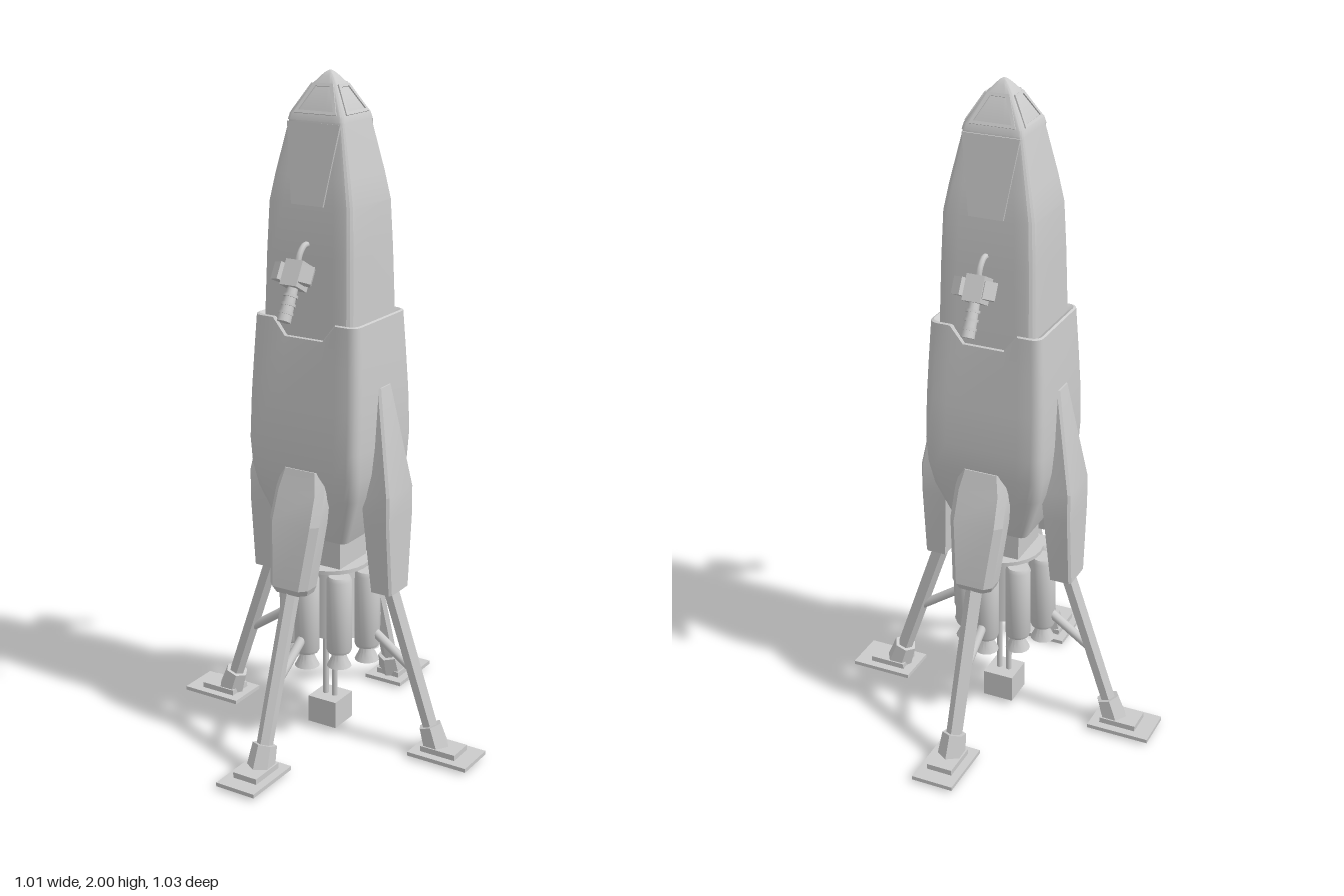
import * as THREE from 'three';
import { toCreasedNormals } from 'three/addons/utils/BufferGeometryUtils.js';

const mat = new THREE.MeshStandardMaterial({ color: 0xcccccc });
const V = (x, y, z) => new THREE.Vector3(x, y, z);

function add(parent, name, geometry, x = 0, y = 0, z = 0) {
  const m = new THREE.Mesh(geometry, mat);
  m.name = name;
  m.position.set(x, y, z);
  parent.add(m);
  return m;
}
const box = (w, h, d) => new THREE.BoxGeometry(w, h, d);

// Skin over closed rings of points, bottom to top, counterclockwise from above
function loft(rows, crease = 0.5) {
  const n = rows[0].length, pos = [], idx = [];
  rows.flat().forEach(p => pos.push(p.x, p.y, p.z));
  for (let i = 0; i < rows.length - 1; i++) {
    for (let j = 0; j < n; j++) {
      const a = i * n + j, b = i * n + (j + 1) % n;
      idx.push(a, b, b + n, a, b + n, a + n);
    }
  }
  [0, rows.length - 1].forEach(r => {
    const c = rows[r].reduce((s, p) => s.add(p), V(0, 0, 0)).divideScalar(n);
    const k = pos.length / 3;
    pos.push(c.x, c.y, c.z);
    for (let j = 0; j < n; j++) {
      const a = r * n + j, b = r * n + (j + 1) % n;
      idx.push(k, ...(r ? [a, b] : [b, a]));
    }
  });
  const g = new THREE.BufferGeometry();
  g.setAttribute('position', new THREE.Float32BufferAttribute(pos, 3));
  g.setIndex(idx);
  return toCreasedNormals(g, crease);
}

// Rounded rectangle ring; the front and back edges carry extra points for the collar notch
function ring(y, hx, hz, r, notch = 0) {
  const pts = [], steps = 4;
  const corner = (sx, sz, start) => {
    for (let i = 0; i <= steps; i++) {
      const t = start + (i / steps) * Math.PI / 2;
      pts.push(V(sx * (hx - r) + r * Math.cos(t), y, sz * (hz - r) - r * Math.sin(t)));
    }
  };
  const edge = sz => [0.72, 0.44, -0.44, -0.72].forEach(f =>
    pts.push(V(-sz * f * (hx - r), y - (Math.abs(f) < 0.5 ? notch : 0), sz * hz)));
  corner(1, -1, 0);
  edge(-1);
  corner(-1, -1, Math.PI / 2);
  corner(-1, 1, Math.PI);
  edge(1);
  corner(1, 1, Math.PI * 1.5);
  return pts;
}

// Cylinder between two points
function rod(parent, name, a, b, ra, rb = ra, sides = 12) {
  const g = new THREE.CylinderGeometry(rb, ra, a.distanceTo(b), sides);
  const m = add(parent, name, sides < 10 ? toCreasedNormals(g, 0.4) : g);
  m.position.copy(a).lerp(b, 0.5);
  m.quaternion.setFromUnitVectors(V(0, 1, 0), b.clone().sub(a).normalize());
}

// Upright trapezoid plate, optionally with a trapezoid opening
function trapezoid(wb, wt, h, depth, border = 0) {
  const path = (T, b, t, y0, y1) => {
    const s = new T();
    s.moveTo(-b, y0); s.lineTo(b, y0); s.lineTo(t, y1); s.lineTo(-t, y1); s.closePath();
    return s;
  };
  const shape = path(THREE.Shape, wb, wt, 0, h);
  if (border) shape.holes.push(path(THREE.Path, wb - border * 1.4, wt - border, border, h - border));
  return new THREE.ExtrudeGeometry(shape, { depth, bevelEnabled: false });
}

// Landing leg reaching along +z
function landingLeg(rows, chamfer, shift) {
  const leg = new THREE.Group();
  leg.name = 'landingLeg';
  add(leg, 'legFairing', loft(rows.map(([y, inner, outer, w]) => [
    V(w, y, inner), V(-w, y, inner), V(-w, y, outer - chamfer),
    V(-w + chamfer, y, outer), V(w - chamfer, y, outer), V(w, y, outer - chamfer)
  ]), 0.2));
  const foot = V(0, 0.05, 0.365 + shift), top = V(0, 0.56, 0.19 + shift);
  rod(leg, 'legBeam', foot, top, 0.024, 0.025, 6);
  rod(leg, 'legStrut', V(0, 0.26, 0.285 + shift), V(0, 0.36, 0.14), 0.014);
  const dir = top.clone().sub(foot).normalize();
  rod(leg, 'ankle', foot.clone().addScaledVector(dir, -0.03), foot.clone().addScaledVector(dir, 0.045), 0.042, 0.036, 6);
  const z = 0.408 + shift;
  add(leg, 'footPad', box(0.13, 0.012, 0.195), 0, 0.014, z);
  add(leg, 'footPlate', box(0.08, 0.018, 0.115), 0, 0.028, z - 0.01);
  add(leg, 'footCleat', box(0.03, 0.01, 0.12), 0, 0.005, z);
  add(leg, 'footCleat', box(0.08, 0.01, 0.03), 0, 0.005, z);
  return leg;
}

// Thruster on a bent arm, facing +z
function thruster() {
  const g = new THREE.Group();
  g.name = 'sideThruster';
  const bend = new THREE.CatmullRomCurve3([V(0, 1.53, 0.11), V(0, 1.532, 0.135), V(0, 1.51, 0.16), V(0, 1.46, 0.175)]);
  add(g, 'thrusterArm', new THREE.TubeGeometry(bend, 12, 0.009, 8));
  const head = new THREE.Group();
  head.name = 'thrusterHead';
  head.position.set(0, 1.455, 0.177);
  head.rotation.x = -0.5;
  add(head, 'thrusterBlock', box(0.055, 0.075, 0.06));
  for (const s of [-1, 1]) add(head, 'thrusterEar', box(0.035, 0.05, 0.045), s * 0.04, 0, 0.01).rotation.y = s * 0.5;
  add(head, 'thrusterNozzle', new THREE.CylinderGeometry(0.015, 0.02, 0.1, 12), 0, -0.085, 0);
  for (let i = 0; i < 3; i++) add(head, 'nozzleBand', new THREE.CylinderGeometry(0.021, 0.021, 0.008, 12), 0, -0.06 - i * 0.025, 0);
  g.add(head);
  return g;
}

export function createModel() {
  const model = new THREE.Group();
  model.name = 'rocketLander';

  // Lower hull with a notched collar
  add(model, 'lowerHull', loft([
    ring(0.65, 0.112, 0.1, 0.02), ring(0.8, 0.168, 0.148, 0.03), ring(0.87, 0.181, 0.16, 0.03),
    ring(0.95, 0.185, 0.165, 0.03), ring(1.08, 0.184, 0.157, 0.03), ring(1.2, 0.179, 0.149, 0.03),
    ring(1.315, 0.172, 0.142, 0.028, 0.05), ring(1.318, 0.166, 0.136, 0.026, 0.05), ring(1.3, 0.14, 0.115, 0.02, 0.05)
  ]));

  // Upper hull and nose
  add(model, 'upperHull', loft([
    ring(1.22, 0.152, 0.134, 0.026), ring(1.32, 0.149, 0.131, 0.026), ring(1.5, 0.145, 0.124, 0.026),
    ring(1.64, 0.139, 0.117, 0.024), ring(1.72, 0.124, 0.106, 0.022), ring(1.87, 0.09, 0.08, 0.014)
  ], 0.25));
  add(model, 'nose', loft([
    ring(1.868, 0.093, 0.083, 0.014), ring(1.885, 0.089, 0.079, 0.014), ring(1.962, 0.042, 0.036, 0.012),
    ring(1.985, 0.022, 0.02, 0.01), ring(1.996, 0.01, 0.01, 0.006), ring(2, 0.003, 0.003, 0.002)
  ]));

  // Window frames on the four nose faces
  for (let k = 0; k < 4; k++) {
    const pivot = new THREE.Group();
    pivot.name = 'noseWindow';
    pivot.rotation.y = k * Math.PI / 2;
    const [wb, wt, z, tilt] = k % 2 ? [0.06, 0.028, 0.087, -0.548] : [0.069, 0.032, 0.077, -0.508];
    add(pivot, 'windowFrame', trapezoid(wb, wt, 0.09, 0.005, 0.009), 0, 1.886, z).rotation.x = tilt;
    model.add(pivot);
  }

  // Front and back: raised hull panel and thruster
  for (const turn of [0, Math.PI]) {
    const side = new THREE.Group();
    side.name = turn ? 'backFittings' : 'frontFittings';
    side.rotation.y = turn;
    add(side, 'hullPanel', trapezoid(0.052, 0.086, 0.225, 0.012), 0, 1.64, 0.111).rotation.x = -0.155;
    side.add(thruster());
    model.add(side);
  }

  // Four legs: short fairings front and back, tall ones left and right
  const shortRows = [[0.52, 0.18, 0.236, 0.056], [0.54, 0.178, 0.246, 0.064], [0.73, 0.15, 0.215, 0.084], [0.82, 0.13, 0.183, 0.082], [0.88, 0.13, 0.164, 0.07]];
  const tallRows = [[0.5, 0.175, 0.241, 0.053], [0.72, 0.16, 0.241, 0.073], [0.81, 0.15, 0.241, 0.073], [1.12, 0.16, 0.187, 0.034]];
  for (let k = 0; k < 4; k++) {
    const leg = k % 2 ? landingLeg(tallRows, 0.007, 0) : landingLeg(shortRows, 0.02, 0.009);
    leg.rotation.y = k * Math.PI / 2;
    model.add(leg);
  }

  // Engine section: neck, plate, core and a ring of tanks with bells
  add(model, 'engineNeck', box(0.16, 0.13, 0.15), 0, 0.605, 0);
  add(model, 'enginePlate', new THREE.CylinderGeometry(0.12, 0.12, 0.012, 24), 0, 0.552, 0);
  add(model, 'engineCore', new THREE.CylinderGeometry(0.075, 0.075, 0.22, 24), 0, 0.43, 0);
  const lathe = profile => toCreasedNormals(new THREE.LatheGeometry(profile.map(p => new THREE.Vector2(...p)), 16), 0.6);
  const tank = lathe([[0, 0.3], [0.034, 0.3], [0.038, 0.31], [0.038, 0.53], [0.032, 0.542], [0, 0.542]]);
  const bell = lathe([[0, 0.29], [0.033, 0.254], [0.037, 0.254], [0.024, 0.28], [0.019, 0.305]]);
  for (let i = 0; i < 8; i++) {
    const a = i * Math.PI / 4, r = i % 2 ? 0.118 : 0.13;
    add(model, 'tank', tank, r * Math.cos(a), 0, r * Math.sin(a));
    add(model, 'engineBell', bell, r * Math.cos(a), 0, r * Math.sin(a));
  }

  // Box hanging on two posts below the core
  for (const s of [-1, 1]) rod(model, 'hangerPost', V(s * 0.016, 0.09, 0), V(s * 0.016, 0.34, 0), 0.009);
  add(model, 'hangingBox', box(0.097, 0.085, 0.097), 0, 0.06, 0);

  return model;
}
